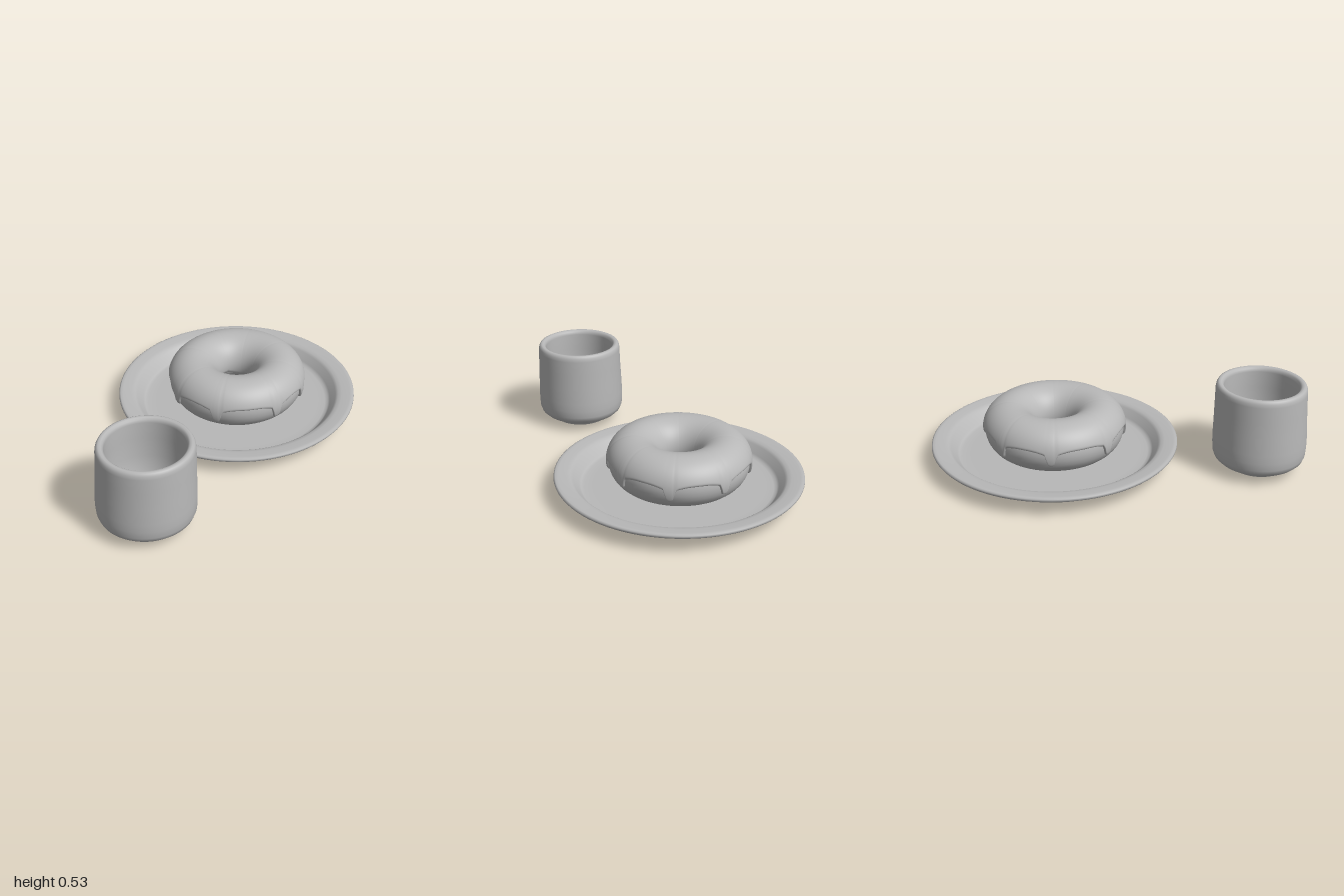
import * as THREE from 'three';

const clayGrey = new THREE.MeshStandardMaterial({ color: 0xb8b8b8 });
clayGrey.name = 'clayGrey';

const { degToRad, smoothstep, clamp } = THREE.MathUtils;

function addMesh(parent, name, geometry) {
  const mesh = new THREE.Mesh(geometry, clayGrey);
  mesh.name = name;
  parent.add(mesh);
  return mesh;
}

// Closed profile turned around the y axis; a repeated point makes a sharp edge
function turned(profile, segments = 72) {
  return new THREE.LatheGeometry(profile.map(([r, y]) => new THREE.Vector2(r, y)), segments);
}

// Ring tube shared by the dough and the icing
const RING = 0.265, TUBE = 0.143, ICED = 0.157, MID = 0.203;

// Angles of the icing drips around the ring, and how far each one runs
const DRIPS = [[26, 28], [63, 26], [107, 27], [152, 24], [198, 27], [242, 26], [292, 25], [334, 28]];

// Lower outer edge of the icing as an angle around the tube, in degrees
function icingEdge(theta) {
  let edge = 12;
  for (const [at, run] of DRIPS) {
    const d = Math.abs(((theta - at + 540) % 360) - 180);
    edge -= 9 * Math.exp(-((d / 10) ** 2));
    edge -= run * (1 - smoothstep(d, 1.5, 5.5));
  }
  return edge;
}

// Icing shell: one cross-section per angle, thinning to a rounded lip at both edges
function icingGeometry() {
  const around = 240, across = 40, lip = 0.016;
  const positions = [], index = [];
  for (let i = 0; i < around; i++) {
    const theta = (i / around) * 360;
    const start = degToRad(icingEdge(theta));
    const end = degToRad(205 + 4 * Math.sin(degToRad(theta * 3)));
    const a = degToRad(theta);
    for (let j = 0; j <= across; j++) {
      const phi = start + (end - start) * Math.pow(j / across, 1.5);
      const s = clamp(Math.min(phi - start, end - phi) * ICED / lip, 0, 1);
      const r = TUBE - 0.003 + (ICED - TUBE + 0.003) * Math.sqrt(s * (2 - s));
      const rho = RING + r * Math.cos(phi);
      positions.push(rho * Math.sin(a), MID + r * Math.sin(phi), rho * Math.cos(a));
    }
  }
  const row = across + 1;
  for (let i = 0; i < around; i++) {
    const n = (i + 1) % around;
    for (let j = 0; j < across; j++) {
      const p = i * row + j, q = n * row + j;
      index.push(p, q, q + 1, p, q + 1, p + 1);
    }
  }
  const geometry = new THREE.BufferGeometry();
  geometry.setAttribute('position', new THREE.Float32BufferAttribute(positions, 3));
  geometry.setIndex(index);
  geometry.computeVertexNormals();
  return geometry;
}

// Hand-made cup: the upper half leans slightly to one side
function cupGeometry() {
  const geometry = turned([
    [0, 0.015], [0.172, 0.015], [0.172, 0.015], [0.182, 0.03], [0.205, 0.042],
    [0.24, 0.057], [0.262, 0.078], [0.272, 0.105], [0.275, 0.15], [0.275, 0.2],
    [0.271, 0.3], [0.267, 0.4], [0.265, 0.49], [0.262, 0.51], [0.255, 0.523],
    [0.245, 0.528], [0.232, 0.526], [0.222, 0.518], [0.217, 0.5],
    [0.218, 0.4], [0.217, 0.28], [0.207, 0.19], [0.185, 0.13], [0.155, 0.095], [0.13, 0.08],
    [0.13, 0.08], [0, 0.08],
  ]);
  const p = geometry.attributes.position;
  for (let i = 0; i < p.count; i++) {
    p.setX(i, p.getX(i) + 0.01 * smoothstep(p.getY(i), 0.15, 0.5));
  }
  return geometry;
}

export function createModel() {
  const model = new THREE.Group();
  model.name = 'breakfastSet';

  const serving = new THREE.Group();
  serving.name = 'donutOnPlate';
  serving.position.set(0.1, 0, -0.275);
  model.add(serving);

  // Plate with sloped wall and flat rim
  addMesh(serving, 'plate', turned([
    [0, 0], [0.55, 0], [0.55, 0], [0.558, 0.004], [0.59, 0.045], [0.622, 0.088],
    [0.64, 0.098], [0.665, 0.1], [0.705, 0.098], [0.718, 0.101], [0.725, 0.11], [0.724, 0.12],
    [0.716, 0.125], [0.7, 0.125], [0.65, 0.12], [0.628, 0.115], [0.612, 0.104],
    [0.58, 0.062], [0.568, 0.051], [0.55, 0.046], [0.5, 0.045], [0, 0.045],
  ], 96));

  // Donut
  const dough = new THREE.TorusGeometry(RING, TUBE, 32, 72);
  dough.rotateX(Math.PI / 2);
  addMesh(serving, 'dough', dough).position.y = MID;
  addMesh(serving, 'icing', icingGeometry());

  // Cup
  const cup = addMesh(model, 'cup', cupGeometry());
  cup.position.set(-0.555, 0, 0.73);
  cup.scale.z = 0.98;

  return model;
}
